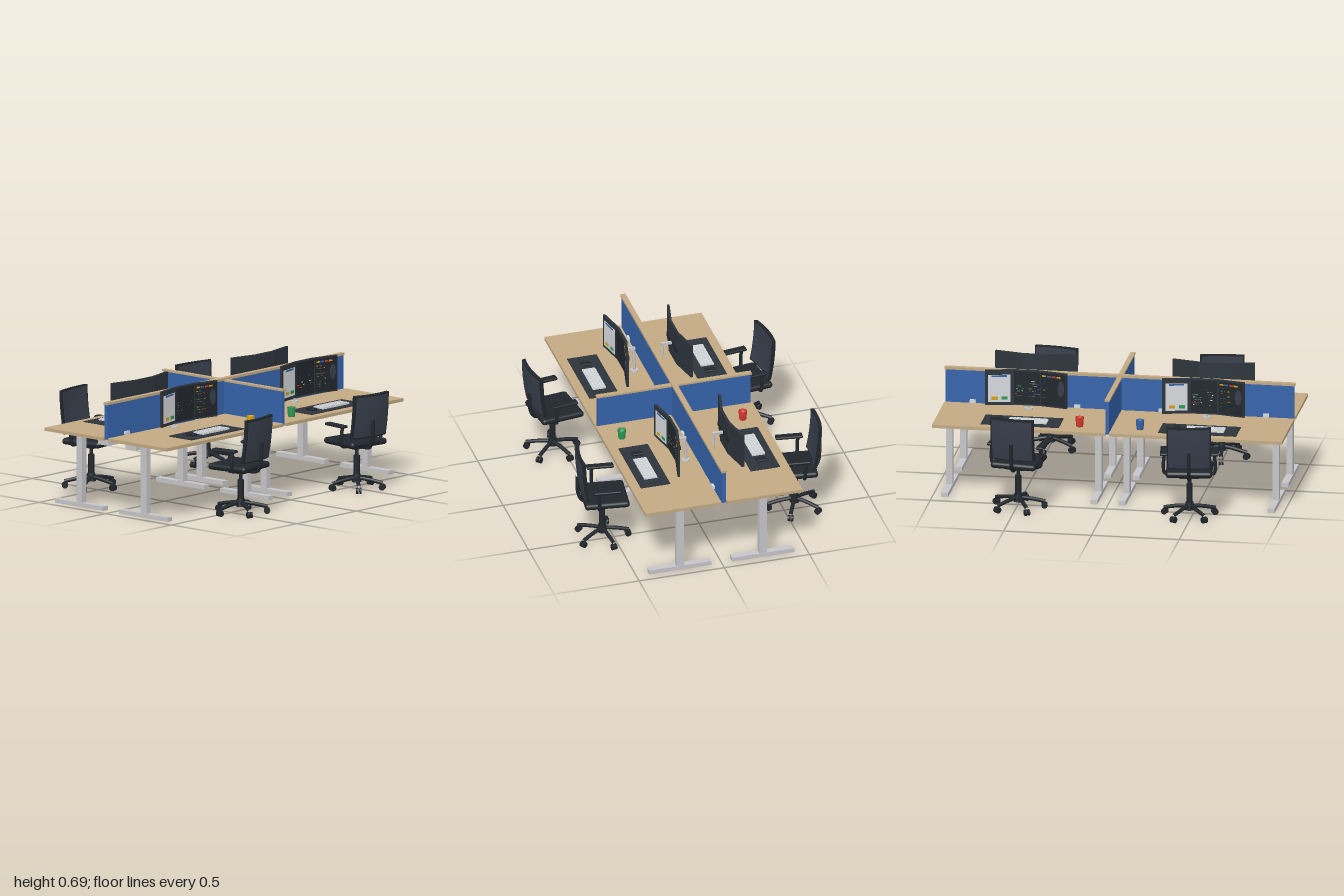
import * as THREE from 'three';
import { RoundedBoxGeometry } from 'three/addons/geometries/RoundedBoxGeometry.js';

const paint = (name, color) => {
  const m = new THREE.MeshStandardMaterial({ color });
  m.name = name;
  return m;
};

export function createModel() {
  const wood = paint('oak', 0xc2a982);
  const blue = paint('blue fabric', 0x3563ab);
  const metal = paint('light grey metal', 0xc6c6ca);
  const charcoal = paint('charcoal plastic', 0x2c343b);
  const black = paint('black plastic', 0x20262c);
  const slate = paint('slate mesh', 0x373e4b);
  const white = paint('pale grey', 0xd6d9dc);
  const yellow = paint('yellow', 0xd8a010);
  const red = paint('red', 0xd6372c);
  const green = paint('green', 0x2c9a52);

  const add = (parent, name, geo, mat, x = 0, y = 0, z = 0) => {
    const mesh = new THREE.Mesh(geo, mat);
    mesh.name = name;
    mesh.position.set(x, y, z);
    parent.add(mesh);
    return mesh;
  };
  const box = (parent, name, mat, w, h, d, x, y, z) =>
    add(parent, name, new THREE.BoxGeometry(w, h, d), mat, x, y, z);
  const tube = (parent, name, mat, r, points) =>
    add(parent, name, new THREE.TubeGeometry(
      new THREE.CatmullRomCurve3(points.map(p => new THREE.Vector3(...p))), 16, r, 10), mat);
  const group = (parent, name) => {
    const g = new THREE.Group();
    g.name = name;
    parent.add(g);
    return g;
  };

  // Plate curved forward at its sides, for the chair back
  const curvedPlate = (w, h, d) => {
    const geo = new THREE.BoxGeometry(w, h, d, 12, 8, 1);
    const p = geo.attributes.position;
    for (let i = 0; i < p.count; i++) {
      const x = p.getX(i), y = p.getY(i);
      p.setZ(i, p.getZ(i) - 0.9 * x * x - 0.4 * y * y);
    }
    geo.computeVertexNormals();
    return geo;
  };

  // Swivel chair facing -z, with its column on the origin
  function makeChair(parent) {
    const c = group(parent, 'chair');
    for (let i = 0; i < 5; i++) {
      const leg = group(c, 'baseLeg');
      leg.rotation.y = Math.PI / 2 + i * Math.PI * 2 / 5;
      tube(leg, 'baseArm', black, 0.011, [[0.01, 0.066, 0], [0.08, 0.056, 0], [0.152, 0.04, 0]]);
      for (const s of [-1, 1]) {
        const wheel = add(leg, 'caster', new THREE.CylinderGeometry(0.018, 0.018, 0.011, 16), black, 0.148, 0.018, s * 0.009);
        wheel.rotation.x = Math.PI / 2;
      }
    }
    add(c, 'baseHub', new THREE.CylinderGeometry(0.022, 0.028, 0.045, 20), black, 0, 0.065, 0);
    add(c, 'columnSleeve', new THREE.CylinderGeometry(0.018, 0.018, 0.12, 20), black, 0, 0.135, 0);
    add(c, 'gasLift', new THREE.CylinderGeometry(0.011, 0.011, 0.06, 16), black, 0, 0.215, 0);
    box(c, 'tiltMechanism', black, 0.11, 0.024, 0.1, 0, 0.25, 0);
    add(c, 'seat', new RoundedBoxGeometry(0.262, 0.036, 0.255, 4, 0.017), black, 0, 0.276, -0.012);
    tube(c, 'backSupport', black, 0.011, [[0, 0.25, 0.04], [0, 0.255, 0.11], [0, 0.3, 0.135], [0, 0.42, 0.142]]);
    const back = group(c, 'backrest');
    back.position.set(0, 0.437, 0.128);
    back.rotation.x = 0.11;
    add(back, 'backFrame', curvedPlate(0.25, 0.25, 0.02), black);
    add(back, 'backMesh', curvedPlate(0.232, 0.232, 0.027), slate);
    for (const s of [-1, 1]) {
      tube(c, 'armPost', black, 0.01, [[s * 0.09, 0.262, 0.035], [s * 0.138, 0.268, 0.036],
        [s * 0.146, 0.31, 0.038], [s * 0.141, 0.378, 0.04]]);
      add(c, 'armPad', new RoundedBoxGeometry(0.044, 0.016, 0.155, 3, 0.007), black, s * 0.143, 0.382, -0.01);
    }
    return c;
  }

  // Monitor with its screen centre on the origin, facing +z
  const MW = 0.16, MH = 0.206;
  function makeMonitor(parent, x, z, turn) {
    const m = group(parent, 'monitor');
    m.position.set(x, 0.582, z);
    m.rotation.y = turn;
    box(m, 'monitorCase', charcoal, MW, MH, 0.014, 0, 0, 0);
    return m;
  }
  const mark = (m, mat, w, h, x, y, z = 0.008) => box(m, 'screenDetail', mat, w, h, 0.002, x, y, z);

  // Short rows of coloured marks, ranged left
  function codeRows(m, x0, y0, rows, colours) {
    for (let r = 0; r < rows; r++) {
      let x = x0 + (r % 3) * 0.006;
      for (let k = 0; k < 2 + (r % 2); k++) {
        const w = 0.009 + ((r * 5 + k * 3) % 4) * 0.004;
        mark(m, colours[(r * 2 + k) % colours.length], w, 0.005, x + w / 2, y0 - r * 0.015);
        x += w + 0.005;
      }
    }
  }

  function makeMonitors(parent) {
    const set = group(parent, 'monitorSet');
    const left = makeMonitor(set, -0.156, 0.171, 0.22);
    mark(left, white, 0.125, 0.16, 0, -0.005);
    mark(left, blue, 0.085, 0.01, 0, 0.068, 0.0095);
    mark(left, yellow, 0.034, 0.018, -0.025, -0.062, 0.0095);
    mark(left, green, 0.034, 0.018, 0.03, -0.062, 0.0095);

    const middle = makeMonitor(set, 0, 0.152, 0);
    mark(middle, black, 0.148, 0.19, 0, 0);
    codeRows(middle, -0.068, 0.01, 5, [red, green, white]);
    codeRows(middle, 0.01, 0.04, 7, [blue, white, green, yellow]);

    const right = makeMonitor(set, 0.156, 0.171, -0.22);
    mark(right, black, 0.148, 0.19, 0, 0);
    [yellow, blue, red, yellow].forEach((c, i) => mark(right, c, 0.024, 0.009, -0.055 + i * 0.029, 0.077, 0.0095));
    codeRows(right, -0.066, 0.055, 9, [yellow, blue, green, red]);
    const dial = add(right, 'screenDial', new THREE.CylinderGeometry(0.5, 0.5, 0.002, 24), slate, 0.046, 0.012, 0.0095);
    dial.rotation.x = Math.PI / 2;
    dial.scale.set(0.04, 1, 0.09);

    // Pole and arm carrying the screens
    add(set, 'poleBase', new THREE.CylinderGeometry(0.022, 0.022, 0.008, 20), metal, 0, 0.437, 0.08);
    tube(set, 'pole', metal, 0.008, [[0, 0.433, 0.077], [0, 0.5, 0.081], [0, 0.585, 0.086]]);
    box(set, 'monitorArm', metal, 0.016, 0.014, 0.072, 0, 0.58, 0.112);
    box(set, 'armBracket', black, 0.2, 0.025, 0.008, 0, 0.58, 0.142);
    return set;
  }

  const mugProfile = [[0, 0], [0.018, 0], [0.02, 0.004], [0.024, 0.055], [0.021, 0.055], [0.018, 0.03], [0, 0.03]]
    .map(p => new THREE.Vector2(...p));
  function makeMug(parent, mat, x, z) {
    const mug = group(parent, 'mug');
    mug.position.set(x, 0.433, z);
    add(mug, 'mugBody', new THREE.LatheGeometry(mugProfile, 28), mat);
  }

  // One workplace facing +z; side is -1 or 1 along x
  function makeStation(parent, side, mugMat) {
    const s = group(parent, 'workstation');
    const cx = side * 0.505;
    box(s, 'desktop', wood, 0.986, 0.018, 0.443, side * 0.504, 0.424, 0.2395);
    for (const x of [0.08, 0.93]) {
      box(s, 'deskLeg', metal, 0.036, 0.39, 0.043, side * x, 0.22, 0.243);
      box(s, 'deskFoot', metal, 0.04, 0.025, 0.365, side * x, 0.0125, 0.243);
    }
    box(s, 'cableTray', metal, 0.79, 0.042, 0.08, side * 0.505, 0.386, 0.105);
    for (const x of [0.24, 0.835]) {
      box(s, 'powerSocket', white, 0.034, 0.018, 0.016, side * x, 0.443, 0.017);
    }

    const things = group(s, 'deskItems');
    things.position.x = cx;
    box(things, 'deskMat', charcoal, 0.444, 0.005, 0.172, 0, 0.4355, 0.322);
    box(things, 'keyboard', white, 0.22, 0.009, 0.076, 0.035, 0.4425, 0.327);
    for (let r = 0; r < 4; r++) {
      for (let k = 0; k < 12; k++) {
        box(things, 'key', white, 0.014, 0.003, 0.013, 0.035 + (k - 5.5) * 0.0175, 0.4485, 0.327 + (r - 1.5) * 0.0175);
      }
    }
    add(things, 'mouse', new RoundedBoxGeometry(0.038, 0.014, 0.06, 3, 0.006), black, -0.131, 0.444, 0.326);
    makeMonitors(things);
    makeMug(s, mugMat, side * 0.172, 0.355);

    const chair = makeChair(s);
    chair.position.set(side * 0.488, 0, 0.565);
    return chair;
  }

  const model = new THREE.Group();
  model.name = 'fourPersonDesk';

  // Two stations in front, two turned round behind
  const layout = [[-1, 0, yellow], [1, 0, green], [1, Math.PI, blue], [-1, Math.PI, red]];
  for (const [side, turn, mugMat] of layout) {
    const row = group(model, turn ? 'backPlace' : 'frontPlace');
    row.rotation.y = turn;
    const chair = makeStation(row, side, mugMat);
    chair.rotation.y = (turn ? 1 : -1) * side * 0.13 * (turn ? -side * side : 1);
    if (turn) chair.rotation.y = side * 0.13;
  }

  // Crossed privacy screens with wooden caps
  box(model, 'longScreen', blue, 1.985, 0.198, 0.022, 0, 0.523, 0);
  box(model, 'longScreenCap', wood, 1.996, 0.014, 0.03, 0, 0.629, 0);
  box(model, 'crossScreen', blue, 0.022, 0.195, 0.895, 0, 0.52, 0);
  box(model, 'crossScreenCap', wood, 0.028, 0.011, 0.91, 0, 0.6215, 0);
  return model;
}
